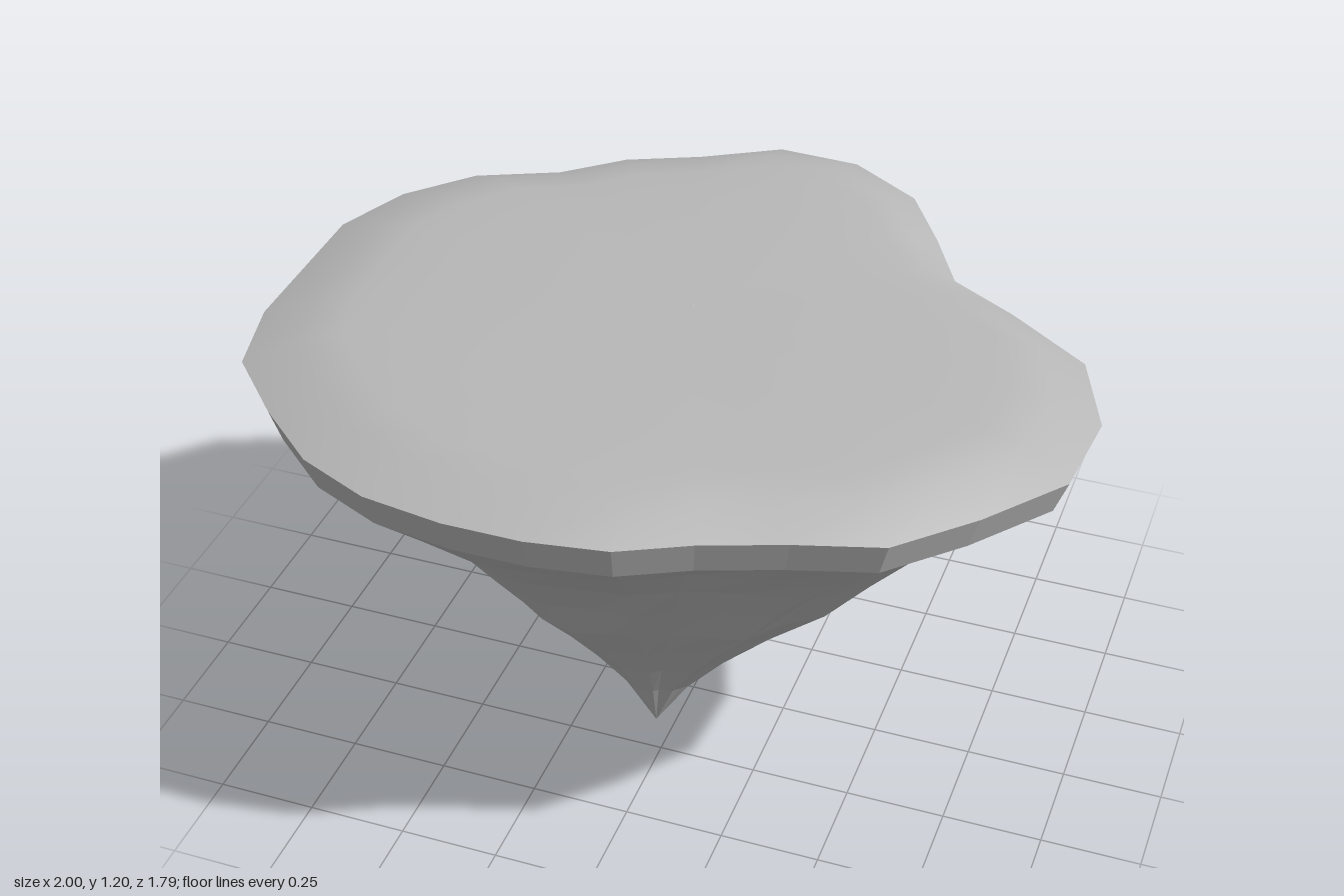
import * as THREE from 'three';

// Shoreline of the island, [x, z], clockwise seen from above
const outline = [
  [-0.07, -0.90], [0.14, -0.89], [0.33, -0.77], [0.44, -0.59], [0.53, -0.42], [0.70, -0.32], [0.91, -0.17],
  [1.00, 0.06], [0.98, 0.30], [0.83, 0.49], [0.67, 0.65], [0.47, 0.71], [0.28, 0.78], [0.12, 0.86],
  [-0.07, 0.89], [-0.26, 0.89], [-0.46, 0.86], [-0.64, 0.78], [-0.80, 0.64], [-0.95, 0.48], [-1.00, 0.27],
  [-1.00, 0.06], [-1.00, -0.16], [-0.92, -0.35], [-0.78, -0.50], [-0.58, -0.59], [-0.44, -0.71], [-0.26, -0.79],
];

function seededRandom(seed) {
  return () => {
    seed = (seed * 16807) % 2147483647;
    return seed / 2147483647;
  };
}

// Skin rings of points, listed from the top down
function loft(rings) {
  const n = outline.length, index = [];
  for (let k = 0; k < rings.length - 1; k++) {
    for (let i = 0; i < n; i++) {
      const j = (i + 1) % n;
      const a = k * n + i, b = k * n + j, c = a + n, d = b + n;
      index.push(a, b, d, a, d, c);
    }
  }
  const geometry = new THREE.BufferGeometry();
  geometry.setAttribute('position', new THREE.Float32BufferAttribute(rings.flat(2), 3));
  geometry.setIndex(index);
  geometry.computeVertexNormals();
  return geometry;
}

function faceted(geometry) {
  const flat = geometry.toNonIndexed();
  flat.computeVertexNormals();
  return flat;
}

export function createModel() {
  const island = new THREE.Group();
  island.name = 'floatingIsland';
  const stone = new THREE.MeshStandardMaterial({ color: 0xb8b8b8 });
  stone.name = 'greyStone';

  const add = (name, geometry) => {
    const mesh = new THREE.Mesh(geometry, stone);
    mesh.name = name;
    island.add(mesh);
    return mesh;
  };

  // Gently domed, smooth top: [scale, height]
  const topProfile = [[0.001, 1.2], [0.3, 1.199], [0.6, 1.194], [0.78, 1.187], [0.88, 1.174], [1, 1.13]];
  add('groundTop', loft(topProfile.map(([s, y]) => outline.map(([x, z]) => [x * s, y, z * s]))));

  // Faceted rock tapering to an off-centre point, with uneven radial ridges
  const random = seededRandom(41);
  const ridges = outline.map(() => random() - 0.5);
  const apex = [-0.05, 0.15];
  const rockProfile = [
    [1, 1.13], [0.97, 1.045], [0.82, 0.935], [0.66, 0.80], [0.54, 0.665],
    [0.43, 0.53], [0.30, 0.40], [0.18, 0.27], [0.085, 0.15], [0.0005, 0],
  ];
  const rockRings = rockProfile.map(([s, y], k) => outline.map(([x, z], i) => {
    const rough = k < 2 ? 0 : ridges[i] * 0.11 * Math.min(1, (k - 1) / 3) + (random() - 0.5) * 0.035;
    const r = s * (1 + rough);
    return [apex[0] + (x - apex[0]) * r, y, apex[1] + (z - apex[1]) * r];
  }));
  add('rockUnderside', faceted(loft(rockRings)));

  // Stone spikes hanging from the rock: [x, z, tip height, length, radius]
  const spikes = [
    [0.30, -0.16, 0.42, 0.26, 0.055],
    [0.11, -0.48, 0.58, 0.24, 0.05],
    [-0.25, -0.32, 0.45, 0.24, 0.05],
    [0.28, 0.14, 0.375, 0.10, 0.03],
    [0.04, -0.26, 0.43, 0.09, 0.022],
  ];
  spikes.forEach(([x, z, tip, length, radius], i) => {
    const geometry = faceted(new THREE.CylinderGeometry(radius, radius * 0.12, length, 5));
    const spike = add('hangingSpike' + (i + 1), geometry);
    spike.position.set(x, tip + length / 2, z);
    spike.rotation.y = i * 1.3;
  });

  return island;
}
